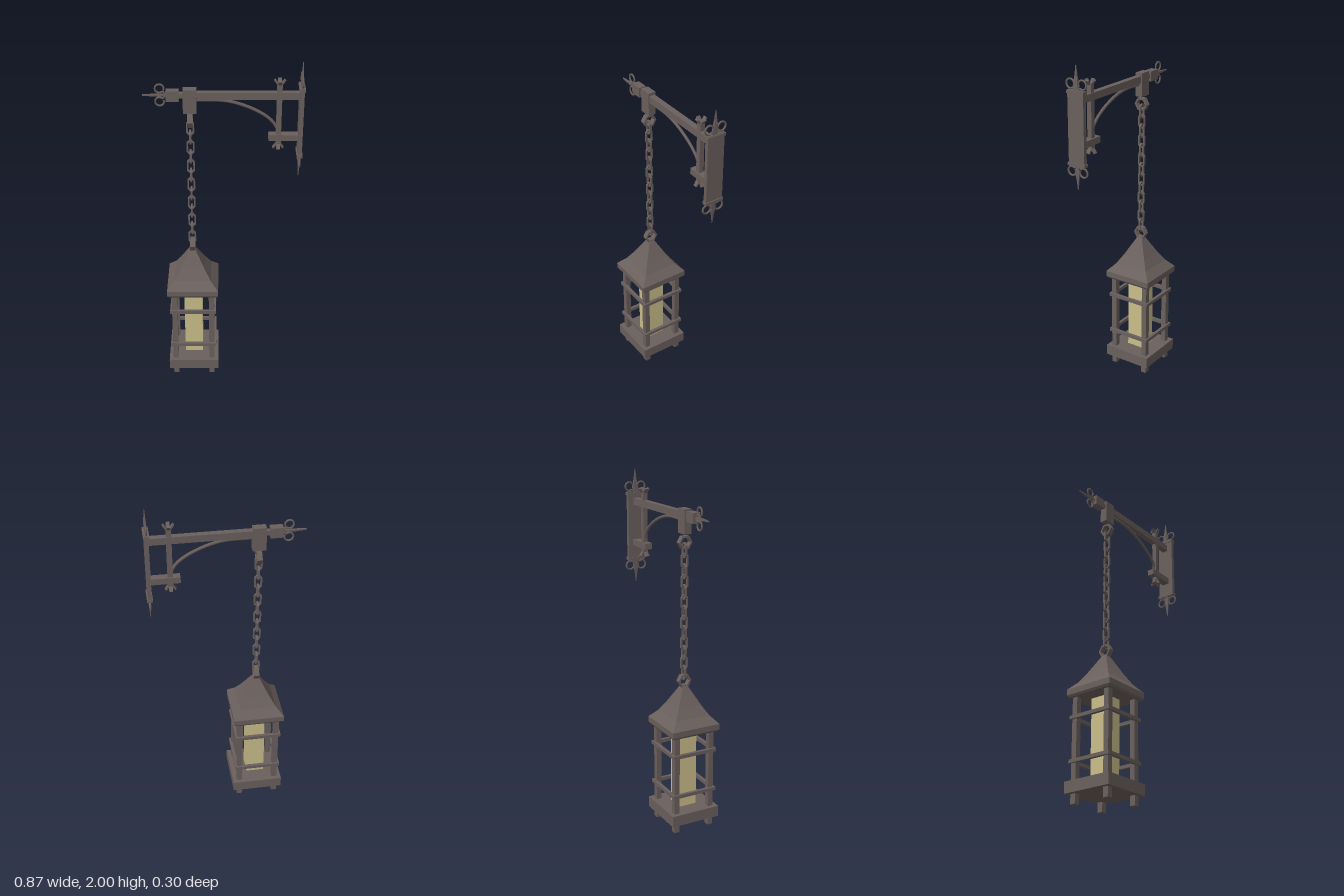
import * as THREE from 'three';

export function createModel() {
  const iron = new THREE.MeshStandardMaterial({ color: 0x6a605d });
  iron.name = 'wrought iron';
  const wax = new THREE.MeshStandardMaterial({ color: 0xcbbe8a });
  wax.name = 'candle wax';

  const root = new THREE.Group();
  root.name = 'hangingWallLantern';
  const group = (name, x = 0, y = 0, z = 0) => {
    const g = new THREE.Group();
    g.name = name;
    g.position.set(x, y, z);
    root.add(g);
    return g;
  };
  const add = (parent, name, geo, x = 0, y = 0, z = 0, mat = iron) => {
    const m = new THREE.Mesh(geo, mat);
    m.name = name;
    m.position.set(x, y, z);
    parent.add(m);
    return m;
  };
  const box = (w, h, d) => new THREE.BoxGeometry(w, h, d);
  // Faceted four-sided solid from [halfWidth, y] pairs, bottom to top
  const square = (profile) => {
    const pts = profile.map(([r, y]) => new THREE.Vector2(r * Math.SQRT2, y));
    const g = new THREE.LatheGeometry(pts, 4, Math.PI / 4).toNonIndexed();
    g.computeVertexNormals();
    return g;
  };
  // Flat polygonal loop in the xy plane
  const loop = (outer, inner, depth) => {
    const vec = (p) => p.map(([x, y]) => new THREE.Vector2(x, y));
    const s = new THREE.Shape(vec(outer));
    s.holes.push(new THREE.Path(vec(inner)));
    const g = new THREE.ExtrudeGeometry(s, { depth, bevelEnabled: false });
    return g.translate(0, 0, -depth / 2);
  };
  const hexagon = (r) => Array.from({ length: 6 }, (_, i) =>
    [r * Math.cos(i * Math.PI / 3), r * Math.sin(i * Math.PI / 3)]);
  const linkOutline = (w, h, s) => [[w, -s], [w, s], [w * 0.35, h], [-w * 0.35, h],
    [-w, s], [-w, -s], [-w * 0.35, -h], [w * 0.35, -h]];

  const LX = -0.183; // lantern axis

  // Lantern
  const lantern = group('lantern', LX);
  add(lantern, 'base', box(0.3, 0.065, 0.3), 0, 0.0875);
  add(lantern, 'candle', box(0.108, 0.48, 0.108), 0, 0.36, 0, wax);
  for (const sx of [-1, 1]) for (const sz of [-1, 1]) {
    add(lantern, 'cornerPost', box(0.032, 0.6, 0.032), sx * 0.11, 0.3, sz * 0.11);
  }
  for (const y of [0.23, 0.475]) for (const s of [-1, 1]) {
    add(lantern, 'sideRail', box(0.018, 0.02, 0.274), s * 0.128, y);
    add(lantern, 'crossRail', box(0.238, 0.02, 0.018), 0, y, s * 0.128);
  }
  add(lantern, 'roof', square([[0, 0.59], [0.142, 0.59], [0.15, 0.602], [0.15, 0.635],
    [0.107, 0.682], [0.073, 0.738], [0.014, 0.85], [0, 0.86]]));

  // Chain: alternating links between two broad rings
  const chain = group('chain', LX);
  const ringGeo = loop(hexagon(0.041), hexagon(0.029), 0.03);
  for (const y of [0.877, 1.667]) add(chain, 'endRing', ringGeo, 0, y).rotation.y = Math.PI / 2;
  const linkGeo = loop(linkOutline(0.022, 0.043, 0.028), linkOutline(0.013, 0.033, 0.023), 0.011);
  for (let i = 0; i < 13; i++) {
    add(chain, 'chainLink', linkGeo, 0, 0.924 + i * 0.0583).rotation.y = (i % 2) * Math.PI / 2;
  }

  // Horizontal arm with clamp and pointed tip
  const arm = group('arm', 0, 1.815);
  add(arm, 'armBar', box(0.61, 0.04, 0.034), 0.1, 0);
  add(arm, 'clamp', box(0.073, 0.135, 0.044), LX, -0.032);
  add(arm, 'neck', box(0.04, 0.026, 0.028), -0.228, 0);
  add(arm, 'tipBlock', box(0.07, 0.058, 0.044), -0.275, 0);
  add(arm, 'tipSpike', square([[0, 0], [0.007, 0], [0.006, 0.065], [0.003, 0.126], [0, 0.126]]),
    -0.31, 0).rotation.z = Math.PI / 2;

  // Curled scroll: a stem from the origin that rolls into a ring, in the xy plane
  const scroll = (cx, cy, r) => {
    const a0 = Math.atan2(-cy, -cx);
    const turn = cx * cy > 0 ? 1 : -1;
    const pts = [new THREE.Vector3(0, 0, 0)];
    for (let i = 0; i <= 10; i++) {
      const a = a0 + turn * i * Math.PI * 0.19;
      pts.push(new THREE.Vector3(cx + r * Math.cos(a), cy + r * Math.sin(a), 0));
    }
    return new THREE.TubeGeometry(new THREE.CatmullRomCurve3(pts), 28, 0.0055, 6);
  };
  for (const s of [-1, 1]) add(arm, 'tipScroll', scroll(-0.035, s * 0.037, 0.024), -0.308, 0);

  // Curved brace below the arm
  const bracePath = new THREE.CatmullRomCurve3([[-0.15, 1.787], [0.01, 1.783], [0.125, 1.75],
    [0.22, 1.7], [0.27, 1.655], [0.294, 1.61]].map(([x, y]) => new THREE.Vector3(x, y, 0)));
  add(root, 'brace', new THREE.TubeGeometry(bracePath, 20, 0.009, 6));

  // Upright with splayed claws at both ends, and the lower bracket
  const upright = group('upright', 0.297, 1.705);
  add(upright, 'uprightBar', box(0.028, 0.36, 0.028));
  for (const end of [-1, 1]) for (let i = 0; i < 4; i++) {
    const pivot = new THREE.Group();
    pivot.name = 'clawPivot';
    pivot.rotation.y = i * Math.PI / 2;
    upright.add(pivot);
    add(pivot, 'claw', box(0.01, 0.036, 0.02), 0.017, end * 0.184).rotation.z = -end * 0.65;
  }
  add(root, 'lowerBracket', box(0.162, 0.036, 0.044), 0.324, 1.572);

  // Wall plate with bands, spikes and corner scrolls
  const plate = group('wallPlate', 0.415, 1.667);
  add(plate, 'backPlate', box(0.022, 0.41, 0.102));
  for (const s of [-1, 1]) {
    add(plate, 'plateBand', box(0.032, 0.016, 0.11), 0, s * 0.193);
    const spike = add(plate, 'plateSpike', square([[0, 0], [0.012, 0], [0.011, 0.06],
      [0.007, 0.085], [0.002, 0.137], [0, 0.137]]), 0, s * 0.198);
    spike.scale.x = 0.55;
    if (s < 0) spike.rotation.x = Math.PI;
    for (const t of [-1, 1]) {
      add(plate, 'plateScroll', scroll(t * 0.03, s * 0.035, 0.025), 0, s * 0.2, -t * 0.008)
        .rotation.y = Math.PI / 2;
    }
  }
  return root;
}
